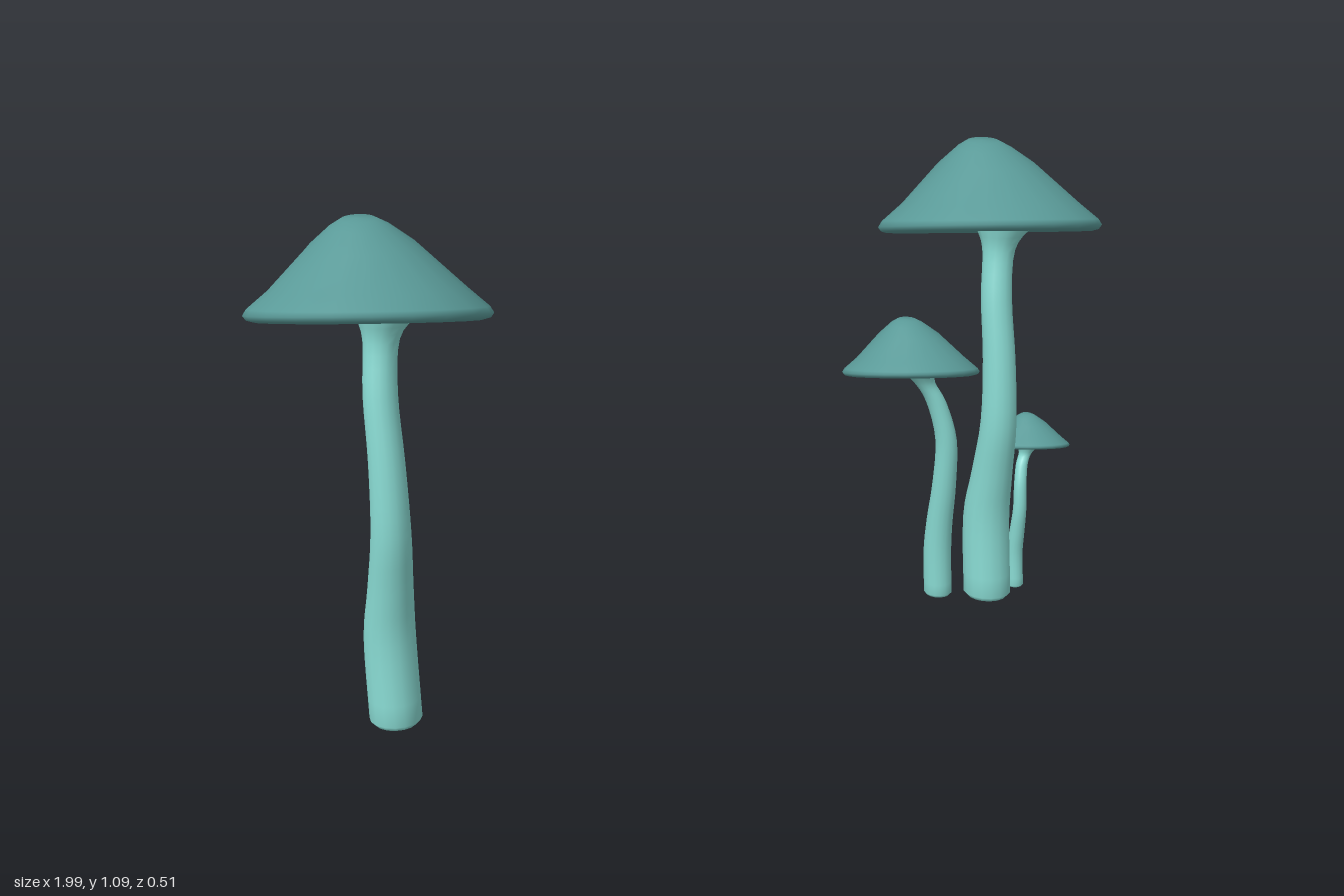
import * as THREE from 'three';

const capMaterial = new THREE.MeshStandardMaterial({ color: 0x5a9a98 });
const stemMaterial = new THREE.MeshStandardMaterial({ color: 0x87d8d0 });

// Skin a stack of rings; each row is [x, y, z, radius, tilt], tilt 1 = slope of the cap rim
function loft(rows, sides) {
  const positions = [], index = [];
  rows.forEach(([x, y, z, r, tilt], i) => {
    for (let j = 0; j < sides; j++) {
      const a = (j / sides) * Math.PI * 2;
      const dx = r * Math.cos(a), dz = r * Math.sin(a);
      positions.push(x + dx, y + tilt * (-0.12 * dx + 0.26 * dz), z + dz);
      if (i === rows.length - 1) continue;
      const p = i * sides + j, q = i * sides + (j + 1) % sides;
      index.push(p, p + sides, q, q, p + sides, q + sides);
    }
  });
  const geometry = new THREE.BufferGeometry();
  geometry.setAttribute('position', new THREE.Float32BufferAttribute(positions, 3));
  geometry.setIndex(index);
  geometry.computeVertexNormals();
  return geometry;
}

// Cap rows: underside, thin rim, lopsided cone, blunt tip
const CAP = [
  [0, 0.008, 0, 0, 1],
  [0, 0.006, 0, 0.12, 1],
  [0, -0.008, 0, 0.232, 1],
  [0, -0.004, 0, 0.246, 1],
  [0, 0.006, 0, 0.253, 1],
  [0, 0.02, 0, 0.245, 0.95],
  [0, 0.06, 0, 0.2, 0.77],
  [0, 0.147, -0.02, 0.11, 0.27],
  [0, 0.182, -0.034, 0.062, 0.05],
  [0, 0.196, -0.04, 0.036, 0],
  [0, 0.198, -0.042, 0, 0],
];

function makeCap(x, y, scale) {
  const rows = CAP.map(([cx, cy, cz, r, tilt]) =>
    [x + cx * scale, y + cy * scale, cz * scale, r * scale, tilt]);
  const cap = new THREE.Mesh(loft(rows, 20), capMaterial);
  cap.name = 'cap';
  return cap;
}

// Stem: smooth curve through [x, y, z, radius], rounded foot, flare under the cap
function makeStem(points) {
  const path = new THREE.CatmullRomCurve3(
    points.map(([x, y, z]) => new THREE.Vector3(x, y, z)), false, 'catmullrom');
  const sizes = new THREE.CatmullRomCurve3(
    points.map((p, i) => new THREE.Vector3(p[3], i >= points.length - 2 ? i - points.length + 2 : 0, 0)),
    false, 'catmullrom');
  const [x, y, z, r] = points[0];
  const foot = r * 0.2;
  const rows = [[x, y - foot, z, 0, 0], [x, y - foot, z, r * 0.82, 0]];
  const steps = (points.length - 1) * 4;
  for (let i = 0; i <= steps; i++) {
    const p = path.getPoint(i / steps), s = sizes.getPoint(i / steps);
    rows.push([p.x, p.y, p.z, s.x, s.y]);
  }
  const stem = new THREE.Mesh(loft(rows, 16), stemMaterial);
  stem.name = 'stem';
  return stem;
}

function makeMushroom(name, capX, capY, scale, stemPoints) {
  const mushroom = new THREE.Group();
  mushroom.name = name;
  mushroom.add(makeStem(stemPoints), makeCap(capX, capY, scale));
  return mushroom;
}

// Large stem relative to the cap's centre line
const LARGE_STEM = [
  [0, 0.022, 0.053, 0.056], [0, 0.2, 0.037, 0.055], [0.001, 0.32, 0.052, 0.048],
  [0.001, 0.45, 0.07, 0.042], [0.002, 0.6, 0.06, 0.038], [0.003, 0.74, 0.037, 0.036],
  [0.017, 0.85, 0.017, 0.038], [0.035, 0.9, 0.008, 0.066],
];

export function createModel() {
  const model = new THREE.Group();
  model.name = 'mushrooms';

  // Two matching large mushrooms
  for (const [name, x] of [['rightLargeMushroom', -0.745], ['leftLargeMushroom', 0.743]]) {
    const points = LARGE_STEM.map(([dx, y, z, r]) => [x + dx, y, z, r]);
    model.add(makeMushroom(name, x, 0.895, 1, points));
  }

  // Medium and small companions
  model.add(makeMushroom('mediumMushroom', 0.545, 0.578, 0.62, [
    [0.638, 0.02, 0.002, 0.033], [0.636, 0.12, -0.003, 0.033], [0.636, 0.2, 0.002, 0.031],
    [0.637, 0.3, 0.015, 0.028], [0.633, 0.41, 0.022, 0.025], [0.61, 0.5, 0.012, 0.023],
    [0.583, 0.55, 0.002, 0.024], [0.567, 0.578, -0.002, 0.04],
  ]));
  model.add(makeMushroom('smallMushroom', 0.88, 0.346, 0.38, [
    [0.845, 0.005, 0.018, 0.021], [0.844, 0.08, 0.013, 0.02], [0.844, 0.14, 0.02, 0.018],
    [0.844, 0.2, 0.027, 0.016], [0.846, 0.26, 0.022, 0.015], [0.855, 0.305, 0.011, 0.014],
    [0.868, 0.331, 0.004, 0.015], [0.876, 0.347, 0.002, 0.026],
  ]));
  return model;
}
